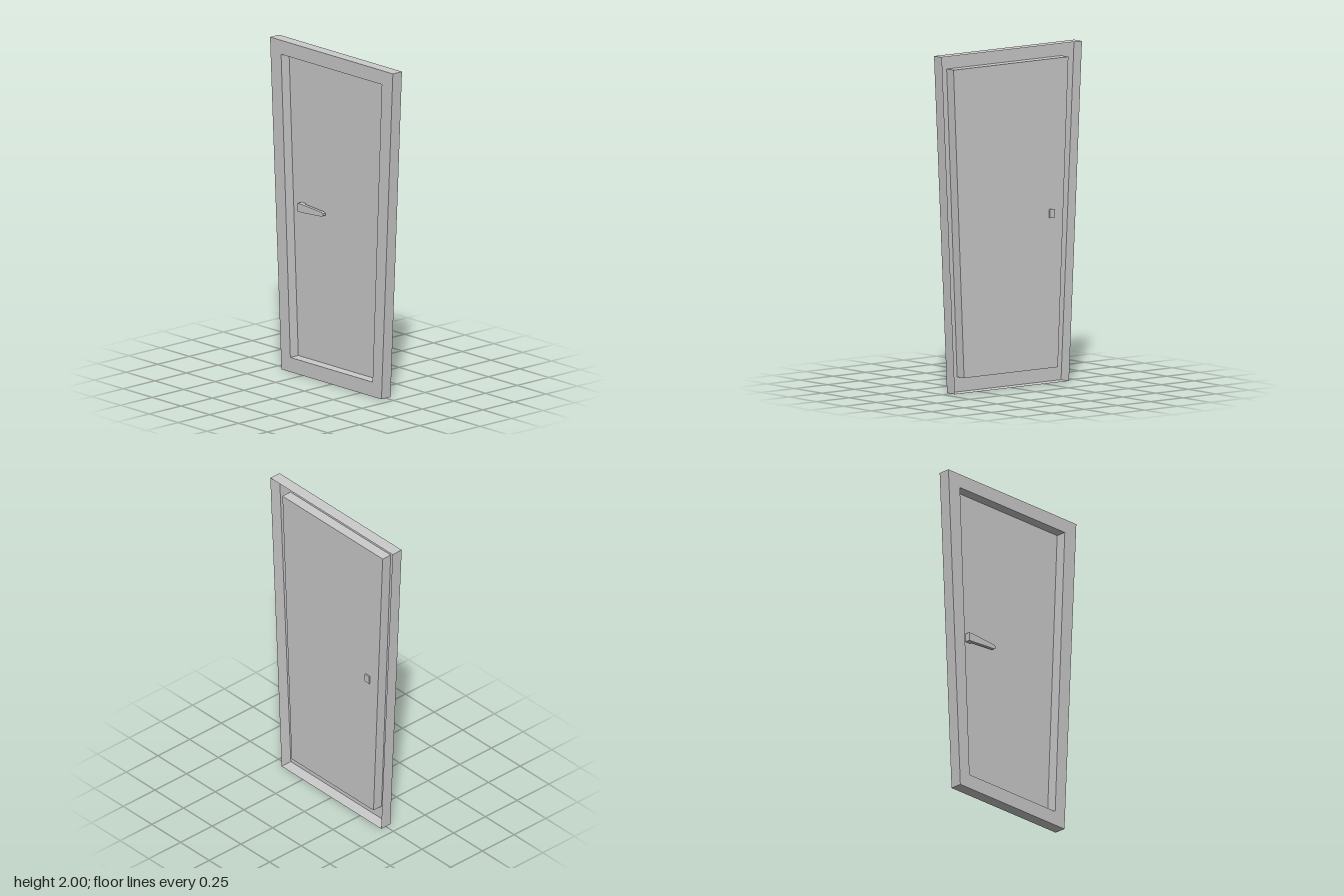
import * as THREE from 'three';

const material = new THREE.MeshStandardMaterial({ color: 0xcccccc, side: THREE.DoubleSide, flatShading: true });
const FRONT = 0.036, BACK = -0.036, PANEL = -0.027;

function add(parent, name, geometry) {
  const mesh = new THREE.Mesh(geometry, material);
  mesh.name = name;
  parent.add(mesh);
  return mesh;
}

// Counter-clockwise outline that widens towards the top
function trapezoid(bottomHalf, topHalf, y0, y1) {
  return [[-bottomHalf, y0], [bottomHalf, y0], [topHalf, y1], [-topHalf, y1]]
    .map(([x, y]) => new THREE.Vector2(x, y));
}

// Thin wall following an outline between two depths
function wall(outline, z0, z1) {
  const positions = [];
  outline.forEach((a, i) => {
    const b = outline[(i + 1) % outline.length];
    positions.push(a.x, a.y, z0, b.x, b.y, z0, b.x, b.y, z1);
    positions.push(a.x, a.y, z0, b.x, b.y, z1, a.x, a.y, z1);
  });
  const geometry = new THREE.BufferGeometry();
  geometry.setAttribute('position', new THREE.Float32BufferAttribute(positions, 3));
  geometry.computeVertexNormals();
  return geometry;
}

export function createModel() {
  const door = new THREE.Group();
  door.name = 'door';
  const outer = trapezoid(0.434, 0.533, 0, 2);
  const inner = trapezoid(0.357, 0.437, 0.088, 1.915);

  // Frame: front face with an opening, and a rim that is open at the back
  const face = new THREE.Shape(outer);
  face.holes.push(new THREE.Path(inner));
  add(door, 'frameFace', new THREE.ShapeGeometry(face)).position.z = FRONT;
  add(door, 'frameRim', wall(outer, BACK, FRONT));

  // Recessed panel and the walls leading back to it
  add(door, 'recessWalls', wall(inner, PANEL, FRONT));
  add(door, 'panel', new THREE.ShapeGeometry(new THREE.Shape(inner))).position.z = PANEL;

  // Handle: tapered lever on a block that passes through the panel
  const handle = new THREE.Group();
  handle.name = 'handle';
  door.add(handle);
  const lever = new THREE.Shape([
    [-0.328, 0.976], [-0.285, 0.977], [-0.118, 0.989], [-0.108, 0.995],
    [-0.108, 1.008], [-0.118, 1.014], [-0.285, 1.026], [-0.328, 1.027],
  ].map(([x, y]) => new THREE.Vector2(x, y)));
  add(handle, 'lever', new THREE.ExtrudeGeometry(lever, { depth: 0.021, bevelEnabled: false })).position.z = -0.015;
  add(handle, 'spindleBlock', new THREE.BoxGeometry(0.038, 0.05, 0.021)).position.set(-0.309, 1.0015, -0.0255);

  return door;
}
